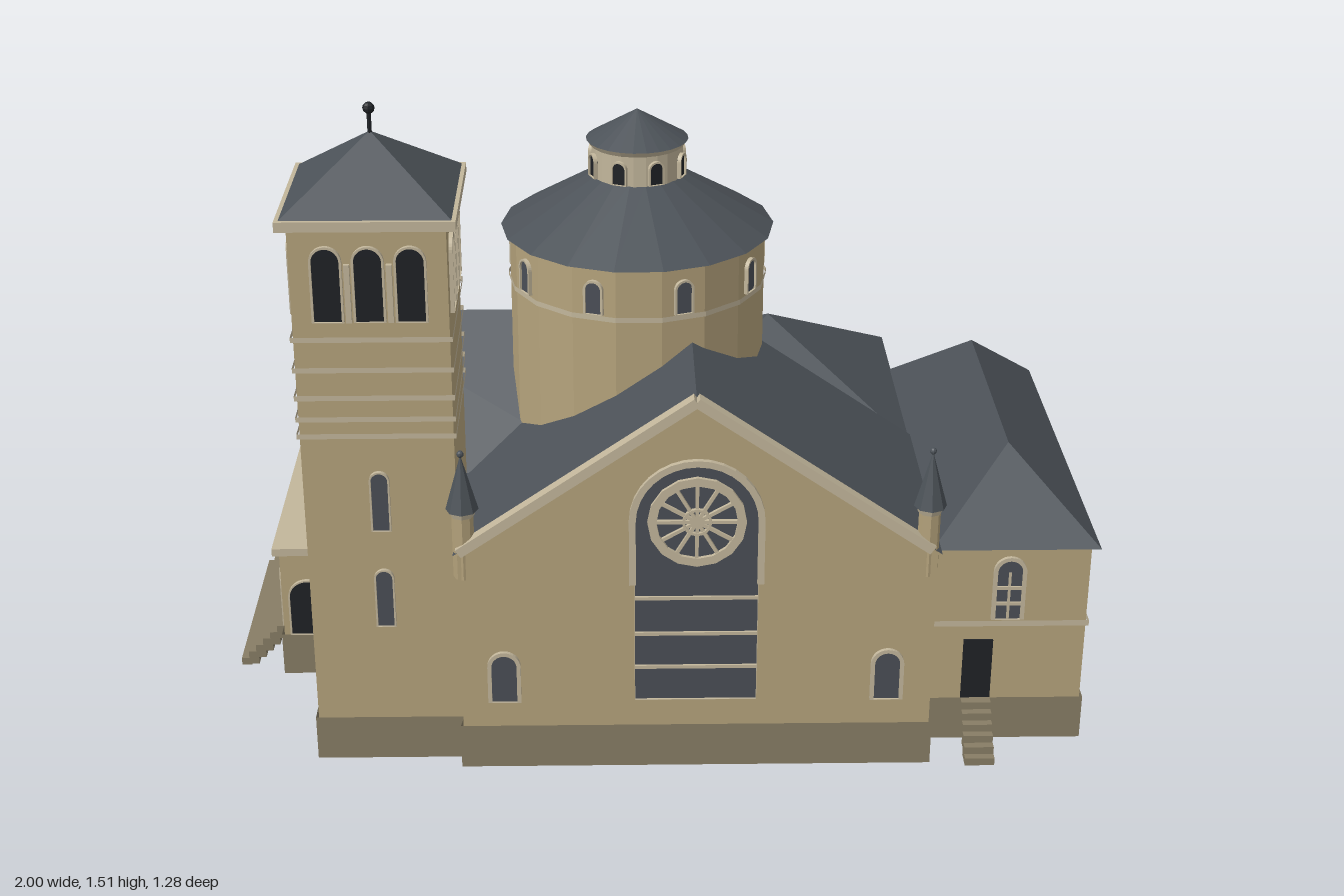
import * as THREE from 'three';

const mat = (name, color) => {
  const m = new THREE.MeshStandardMaterial({ color, side: THREE.DoubleSide, flatShading: true });
  m.name = name;
  return m;
};

export function createModel() {
  const stone = mat('sandstone', 0xb5a37c), plinth = mat('plinth stone', 0x877d65);
  const trim = mat('pale trim', 0xc2b69b), slate = mat('slate', 0x4c5258);
  const glass = mat('window glass', 0x4a4e56), dark = mat('dark opening', 0x1f2226);
  const root = new THREE.Group();
  root.name = 'church';

  const group = (name, parent = root) => {
    const g = new THREE.Group();
    g.name = name;
    parent.add(g);
    return g;
  };
  const add = (name, geo, m, x = 0, y = 0, z = 0, parent = root) => {
    const o = new THREE.Mesh(geo, m);
    o.name = name;
    o.position.set(x, y, z);
    parent.add(o);
    return o;
  };
  // box given by its limits
  const box = (name, m, x0, x1, y0, y1, z0, z1, parent = root) =>
    add(name, new THREE.BoxGeometry(x1 - x0, y1 - y0, z1 - z0), m, (x0 + x1) / 2, (y0 + y1) / 2, (z0 + z1) / 2, parent);
  // sheet made of flat polygons
  const sheet = (name, m, polys, parent = root) => {
    const p = [];
    for (const q of polys) for (let i = 1; i < q.length - 1; i++) p.push(...q[0], ...q[i], ...q[i + 1]);
    const geo = new THREE.BufferGeometry();
    geo.setAttribute('position', new THREE.Float32BufferAttribute(p, 3));
    geo.computeVertexNormals();
    return add(name, geo, m, 0, 0, 0, parent);
  };
  // upright walls along a run of [x, z] points
  const wallRun = (pts, y0, y1) => pts.slice(1).map(([x, z], i) => {
    const [a, b] = pts[i];
    return [[a, y0, b], [x, y0, z], [x, y1, z], [a, y1, b]];
  });
  const rect = (x0, x1, z0, z1) => [[x0, z1], [x1, z1], [x1, z0], [x0, z0], [x0, z1]];
  const arch = (w, h, s = new THREE.Shape(), y = 0) => {
    s.moveTo(-w / 2, y);
    s.lineTo(w / 2, y);
    s.lineTo(w / 2, h - w / 2);
    s.absarc(0, h - w / 2, w / 2, 0, Math.PI, false);
    s.closePath();
    return s;
  };
  const plate = (shape, depth) => new THREE.ExtrudeGeometry(shape, { depth, bevelEnabled: false, curveSegments: 8 });
  // arched window; ry turns its outside from +z
  const archWindow = (name, w, h, x, y, z, ry = 0, { m = glass, bars = 0, edge = 0.009 } = {}, parent = root) => {
    const g = group(name, parent);
    g.position.set(x, y, z);
    g.rotation.y = ry;
    add('pane', plate(arch(w, h), 0.008), m, 0, 0, -0.004, g);
    const f = arch(w + edge * 2, h + edge);
    f.holes.push(arch(w, h, new THREE.Path(), 0.001));
    add('surround', plate(f, 0.009), trim, 0, 0, 0, g);
    for (let i = 1; i <= bars; i++)
      box('crossBar', trim, -w / 2, w / 2, h * 0.27 * i - 0.004, h * 0.27 * i + 0.004, 0, 0.008, g);
    if (bars) box('mullion', trim, -0.003, 0.003, 0, h * 0.8, 0, 0.007, g);
    return g;
  };
  // spoked round window
  const rose = (r, x, y, z, ry) => {
    const g = group('roseWindow');
    g.position.set(x, y, z);
    g.rotation.y = ry;
    for (const k of [1, 0.3]) {
      const s = new THREE.Shape().absarc(0, 0, r * k, 0, Math.PI * 2);
      s.holes.push(new THREE.Path().absarc(0, 0, r * k * 0.82, 0, Math.PI * 2));
      add('ring', plate(s, 0.009), trim, 0, 0, 0.003, g);
    }
    for (let i = 0; i < 6; i++)
      add('spokes', new THREE.BoxGeometry(r * 1.8, r * 0.07, 0.008), trim, 0, 0, 0.006, g).rotation.z = i * Math.PI / 6;
  };
  const E = Math.PI / 2, W = -E, B = Math.PI;

  // outer walls
  sheet('outerWalls', stone, [
    ...wallRun([[0.62, 0.52], [0.98, 0.52], [0.98, -0.42], [0.62, -0.42]], 0, 0.5),
    ...wallRun([[0.62, -0.42], [0.62, -0.62], [-0.01, -0.62], [-0.01, -0.37]], 0, 0.51),
    ...wallRun([[-0.01, -0.37], [-0.76, -0.37]], 0, 0.555),
    ...wallRun([[0.62, 0.62], [0.62, 0.52]], 0, 0.54),
    ...wallRun([[0.62, 0.52], [0.62, 0.02]], 0.48, 0.54),
    ...wallRun([[-0.43, 0.62], [-0.43, 0.58]], 0, 0.54),
    [[-0.43, 0, 0.62], [0.62, 0, 0.62], [0.62, 0.54, 0.62], [0.09, 0.9, 0.62], [-0.43, 0.54, 0.62]],
    [[0.09, 0.55, 0.02], [0.62, 0.5, 0.02], [0.62, 0.535, 0.02], [0.09, 0.9, 0.02]],
    [[-0.76, 0, -0.37], [-0.76, 0, 0.25], [-0.76, 0.55, 0.23], [-0.76, 0.825, -0.07], [-0.76, 0.55, -0.37]],
  ]);
  const P = 0.006;
  sheet('plinth', plinth, [
    ...wallRun([[-0.43, 0.58 + P], [-0.43 - P, 0.62 + P], [0.62 + P, 0.62 + P], [0.62 + P, 0.52 + P], [0.98 + P, 0.52 + P], [0.98 + P, -0.42 - P],
      [0.62 + P, -0.42 - P], [0.62 + P, -0.62 - P], [-0.01 - P, -0.62 - P], [-0.01 - P, -0.37 - P], [-0.76 - P, -0.37 - P],
      [-0.76 - P, 0.58 + P], [-0.43, 0.58 + P]], 0, 0.108),
  ]);

  // roofs
  sheet('naveRoof', slate, [
    [[0.09, 0.907, 0.62], [0.09, 0.907, 0.02], [0.63, 0.535, 0.02], [0.63, 0.535, 0.62]],
    [[0.09, 0.907, 0.62], [0.09, 0.907, 0.02], [-0.44, 0.54, 0.02], [-0.44, 0.54, 0.62]],
  ]);
  sheet('westRoof', slate, [
    [[-0.76, 0.832, -0.07], [0, 0.832, -0.07], [0, 0.55, -0.38], [-0.76, 0.55, -0.38]],
    [[-0.76, 0.832, -0.07], [-0.1, 0.832, -0.07], [-0.1, 0.55, 0.24], [-0.76, 0.55, 0.24]],
  ]);
  const hip = (name, x0, x1, z0, z1, y, top, za, zb) => {
    const m = (x0 + x1) / 2, a = [m, top, za], b = [m, top, zb];
    const c = [[x0, y, z0], [x1, y, z0], [x1, y, z1], [x0, y, z1]];
    sheet(name, slate, [[c[0], c[1], a], [c[1], c[2], b, a], [c[2], c[3], b], [c[3], c[0], a, b]]);
  };
  hip('eastWingRoof', 0.62, 1, -0.44, 0.53, 0.495, 0.67, -0.24, 0.34);
  hip('backWingRoof', -0.03, 0.635, -0.64, 0.015, 0.505, 0.715, -0.312, -0.311);

  // gable copings
  const coping = (len, x, y, z, ry, tilt) => {
    const g = group('gableCoping');
    g.position.set(x, y, z);
    g.rotation.y = ry;
    for (const s of [-1, 1]) {
      const b = add('copingStone', new THREE.BoxGeometry(len, 0.022, 0.03), trim, s * Math.cos(tilt) * len / 2, -Math.sin(tilt) * len / 2, 0, g);
      b.rotation.z = -s * tilt;
    }
  };
  coping(0.63, 0.09, 0.907, 0.612, 0, 0.606);
  coping(0.41, -0.755, 0.828, -0.07, W, 0.735);

  // front gable windows
  archWindow('greatWindow', 0.27, 0.585, 0.092, 0.175, 0.62, 0, { edge: 0.001 });
  const hood = new THREE.Shape().absarc(0, 0, 0.148, 0, Math.PI, false);
  hood.lineTo(-0.148, -0.155).lineTo(-0.133, -0.155).lineTo(-0.133, 0);
  hood.absarc(0, 0, 0.133, Math.PI, 0, true);
  hood.lineTo(0.133, -0.155).lineTo(0.148, -0.155);
  add('greatWindowHood', plate(hood, 0.012), trim, 0.092, 0.625, 0.62);
  for (const y of [0.26, 0.345, 0.435]) box('greatWindowBar', trim, -0.043, 0.227, y - 0.004, y + 0.004, 0.62, 0.629);
  rose(0.108, 0.092, 0.625, 0.622, 0);
  for (const x of [-0.335, 0.52]) archWindow('naveWindow', 0.056, 0.12, x, 0.17, 0.62);

  // west gable, back and side windows
  archWindow('westGableWindow', 0.16, 0.24, -0.76, 0.48, -0.07, W);
  rose(0.065, -0.764, 0.64, -0.07, W);
  for (const x of [-0.2, -0.48]) archWindow('westBackWindow', 0.065, 0.22, x, 0.155, -0.37, B, { bars: 2 });
  for (const x of [0.12, 0.305, 0.49]) archWindow('backWindow', 0.065, 0.22, x, 0.155, -0.62, B, { bars: 2 });
  archWindow('backWingWestWindow', 0.065, 0.22, -0.01, 0.155, -0.49, W);
  archWindow('backWingEastWindow', 0.065, 0.22, 0.62, 0.155, -0.49, E, { edge: 0.002 });

  // east wing windows, band and door
  for (const z of [0.38, 0.165, -0.055, -0.275]) archWindow('eastWindow', 0.056, 0.15, 0.98, 0.315, z, E, { bars: 2 });
  archWindow('eastFrontWindow', 0.056, 0.15, 0.8, 0.315, 0.52, 0, { bars: 2 });
  archWindow('eastBackWindow', 0.056, 0.15, 0.8, 0.315, -0.42, B, { bars: 2 });
  const b = P;
  sheet('eastWingBand', trim, wallRun([[0.62, 0.52 + b], [0.98 + b, 0.52 + b], [0.98 + b, -0.42 - b], [0.62, -0.42 - b]], 0.297, 0.311));
  box('sideDoor', dark, 0.705, 0.772, 0.108, 0.26, 0.516, 0.525);

  // stairs
  for (let i = 0; i < 6; i++) {
    const y = 0.108 - i * 0.018;
    box('porchStep', plinth, -0.909 - i * 0.0182, -0.885 - i * 0.0182, Math.max(0, y - 0.034), y, -0.31, 0.18);
    box('doorStep', plinth, 0.705, 0.772, Math.max(0, y - 0.034), y, 0.525 + i * 0.0185, 0.5475 + i * 0.0185);
  }

  // west porch
  sheet('porchWalls', stone, wallRun(rect(-0.885, -0.76, -0.34, 0.215), 0.1, 0.33));
  sheet('porchPlinth', plinth, wallRun(rect(-0.891, -0.76, -0.346, 0.221), 0, 0.108));
  box('porchRoofSlab', trim, -0.9, -0.76, 0.326, 0.345, -0.352, 0.227);
  for (const z of [-0.235, -0.0625, 0.11]) archWindow('porchArch', 0.12, 0.17, -0.885, 0.108, z, W, { m: dark });
  archWindow('porchFrontArch', 0.085, 0.145, -0.823, 0.108, 0.215, 0, { m: dark, edge: 0.004 });
  archWindow('porchBackArch', 0.085, 0.145, -0.823, 0.108, -0.34, B, { m: dark, edge: 0.004 });

  // bell tower
  const tower = group('bellTower');
  tower.position.set(-0.595, 0, 0.415);
  const H = 0.165;
  sheet('towerWalls', stone, wallRun(rect(-H, H, -H, H), 0, 1.295), tower);
  for (const y of [0.815, 0.855, 0.905, 0.97, 1.04])
    sheet('stringCourse', trim, wallRun(rect(-H - P, H + P, -H - P, H + P), y - 0.006, y + 0.006), tower);
  for (let s = 0; s < 4; s++) {
    const side = group('towerSide', tower);
    side.rotation.y = s * E;
    for (const x of [-0.088, 0, 0.088]) archWindow('belfryOpening', 0.058, 0.165, x, 1.08, H, 0, { m: dark, edge: 0.005 }, side);
    for (const x of [-0.044, 0.044]) box('belfryColumn', trim, x - 0.006, x + 0.006, 1.08, 1.21, H, H + 0.01, side);
    if (s === 0 || s === 3) for (const y of [0.345, 0.585]) archWindow('towerWindow', 0.036, 0.14, 0, y, H, 0, { edge: 0.004 }, side);
  }
  box('cornice', trim, -0.187, 0.187, 1.288, 1.31, -0.187, 0.187, tower);
  add('towerRoof', new THREE.ConeGeometry(0.178 * Math.SQRT2, 0.135, 4, 1, false, Math.PI / 4), slate, 0, 1.3775, 0, tower);
  add('finialRod', new THREE.CylinderGeometry(0.005, 0.005, 0.06, 6), dark, 0, 1.465, 0, tower);
  add('finialBall', new THREE.SphereGeometry(0.013, 8, 6), dark, 0, 1.495, 0, tower);

  // domed drum and lantern
  const drum = group('drum');
  drum.position.set(-0.03, 0, 0.04);
  const ring = (name, m, rt, rb, y0, y1, open = true, n = 18) =>
    add(name, new THREE.CylinderGeometry(rt, rb, y1 - y0, n, 1, open, Math.PI / 18), m, 0, (y0 + y1) / 2, 0, drum);
  ring('drumWall', stone, 0.295, 0.295, 0.6, 1.095);
  ring('drumBand', trim, 0.3, 0.3, 0.968, 0.98);
  ring('drumRoof', slate, 0.1, 0.315, 1.095, 1.222);
  ring('drumEave', slate, 0.315, 0.29, 1.09, 1.095);
  for (let i = 0; i < 9; i++) {
    const a = (20 + 40 * i) * Math.PI / 180;
    archWindow('drumWindow', 0.036, 0.076, 0.2905 * Math.sin(a), 0.982, 0.2905 * Math.cos(a), a, { edge: 0.005 }, drum);
  }
  ring('lanternWall', trim, 0.105, 0.105, 1.2, 1.3, true, 24);
  ring('lanternCornice', trim, 0.116, 0.108, 1.29, 1.302, false, 24);
  ring('lanternRoof', slate, 0.001, 0.117, 1.302, 1.37, false, 24);
  for (let i = 0; i < 8; i++) {
    const a = (i + 0.5) * Math.PI / 4;
    archWindow('lanternOpening', 0.03, 0.052, 0.105 * Math.sin(a), 1.222, 0.105 * Math.cos(a), a, { m: dark, edge: 0.004 }, drum);
  }

  // corner pinnacles
  for (const [x, y, z] of [[-0.417, 0, 0.598], [0.6, 0, 0.598], [-0.742, -0.035, -0.35]]) {
    const p = group('pinnacle');
    p.position.set(x, y, z);
    add('shaft', new THREE.CylinderGeometry(0.024, 0.024, 0.16, 8), stone, 0, 0.56, 0, p);
    add('collar', new THREE.CylinderGeometry(0.031, 0.026, 0.016, 8), trim, 0, 0.638, 0, p);
    add('spire', new THREE.ConeGeometry(0.036, 0.13, 8), slate, 0, 0.71, 0, p);
    add('knob', new THREE.SphereGeometry(0.008, 8, 6), slate, 0, 0.777, 0, p);
  }
  return root;
}
